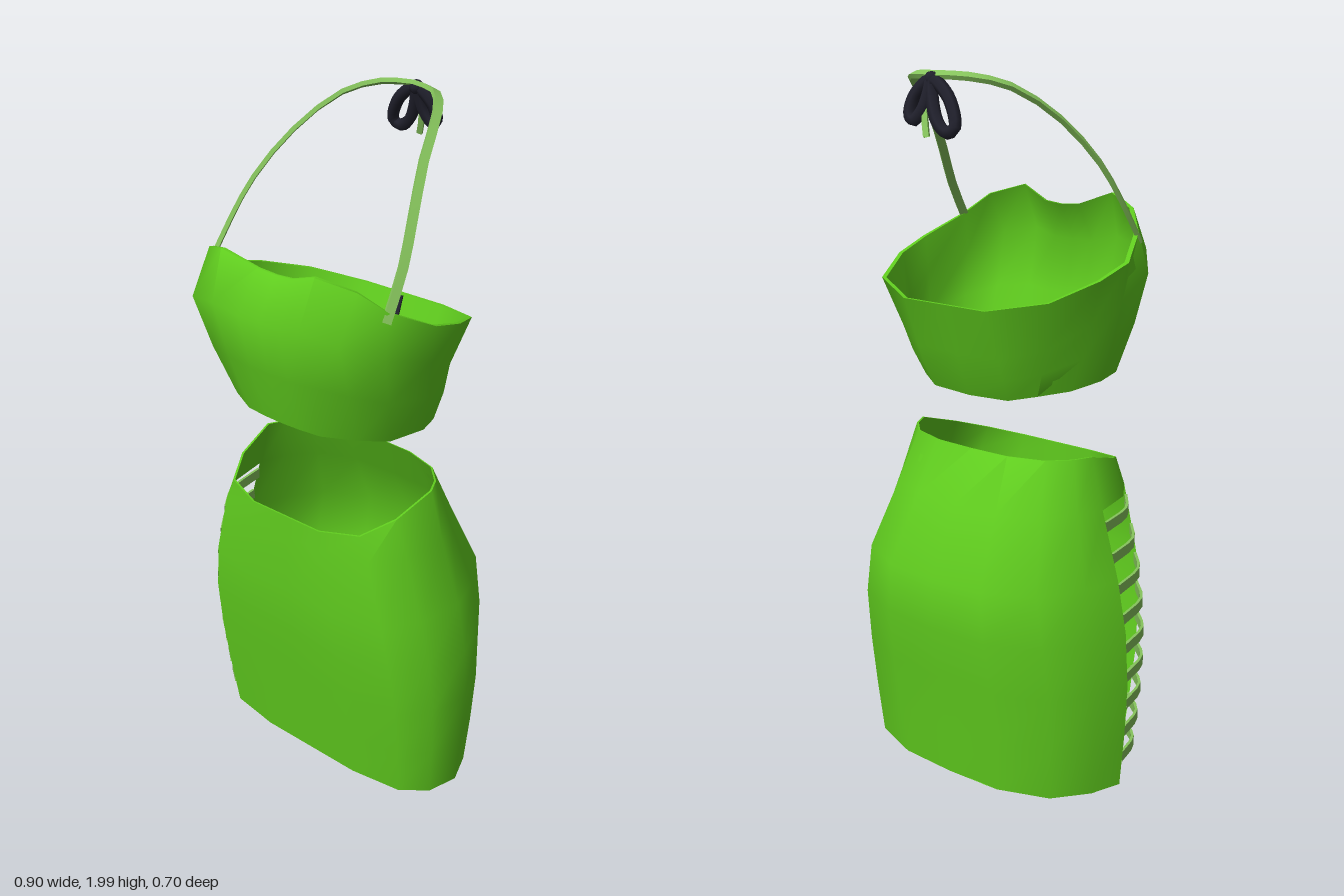
import * as THREE from 'three';
import { toCreasedNormals } from 'three/addons/utils/BufferGeometryUtils.js';

const mat = (name, color) => {
  const m = new THREE.MeshStandardMaterial({ color, side: THREE.DoubleSide });
  m.name = name;
  return m;
};

// Mirror a half ring (front centre to back centre) into a full ring
const mirrorRing = (half) => [
  ...half,
  ...half.slice(1, -1).reverse().map(([x, y, z]) => [-x, y, z]),
];

// Geometry from rows of points; every row is a closed loop
function loft(rows, { closed = false, keep = () => true, crease = 1.1 } = {}) {
  const n = rows[0].length;
  const index = [];
  for (let i = 0; i < rows.length - (closed ? 0 : 1); i++) {
    const next = (i + 1) % rows.length;
    for (let j = 0; j < n; j++) {
      if (!keep(i, j)) continue;
      const a = i * n + j, b = i * n + (j + 1) % n;
      const c = next * n + (j + 1) % n, d = next * n + j;
      index.push(a, b, c, a, c, d);
    }
  }
  const g = new THREE.BufferGeometry();
  g.setAttribute('position', new THREE.Float32BufferAttribute(rows.flat(2), 3));
  g.setIndex(index);
  return toCreasedNormals(g, crease);
}

// Thin double-walled shell from rings listed bottom to top
function shell(rings, thickness, keep) {
  const k = 1 - thickness;
  const inner = rings.map((r) => r.map(([x, y, z]) => [x * k, y, z * k])).reverse();
  return loft([...rings, ...inner], { closed: true, keep });
}

const curve = (pts, closed = false) =>
  new THREE.CatmullRomCurve3(pts.map((p) => new THREE.Vector3(...p)), closed);

// Flat band along a path, its face turned away from the point centre(p)
function ribbon(pts, width, thickness, centre, segments) {
  const path = curve(pts);
  const rows = [];
  for (let i = 0; i <= segments; i++) {
    const p = path.getPoint(i / segments);
    const t = path.getTangent(i / segments);
    const side = t.clone().cross(p.clone().sub(centre(p))).normalize();
    const out = side.clone().cross(t).normalize();
    rows.push([[-1, -1], [-1, 1], [1, 1], [1, -1]].map(([a, b]) => p.clone()
      .addScaledVector(side, a * width / 2)
      .addScaledVector(out, b * thickness / 2).toArray()));
  }
  return loft(rows, { crease: 0.8 });
}

// Skirt cross-section as fractions of half width and of front or back depth
const SECTION = [[0, 1], [0.4, 1], [0.77, 0.85], [0.94, 0.48], [1, -0.06],
  [0.92, -0.4], [0.74, -0.76], [0.4, -0.97], [0, -1]];
// Skirt levels: height, half width, front depth, back depth
const LEVELS = [[0.01, 0.43, 0.16, 0.265], [0.17, 0.443, 0.185, 0.285],
  [0.33, 0.45, 0.21, 0.305], [0.49, 0.44, 0.235, 0.33], [0.64, 0.41, 0.25, 0.33],
  [0.83, 0.35, 0.25, 0.23], [0.975, 0.31, 0.25, 0.155]];
const skirtPoint = ([y, w, f, b], [u, v]) => [u * w, y, v > 0 ? v * f : v * b];

function levelAt(y) {
  const i = LEVELS.findIndex((l) => l[0] >= y);
  const t = (y - LEVELS[i - 1][0]) / (LEVELS[i][0] - LEVELS[i - 1][0]);
  return LEVELS[i].map((v, k) => THREE.MathUtils.lerp(LEVELS[i - 1][k], v, t));
}

export function createModel() {
  const model = new THREE.Group();
  const green = mat('bright green', 0x60cc1e);
  const paleGreen = mat('pale green', 0x86c45c);
  const black = mat('blue black', 0x20202c);
  const add = (name, geometry, material, parent = model) => {
    const m = new THREE.Mesh(geometry, material);
    m.name = name;
    parent.add(m);
    return m;
  };

  // Top: hem, fullest line and neckline
  const hem = [[0, 1.185, 0.255], [0.06, 1.185, 0.253], [0.13, 1.185, 0.245],
    [0.22, 1.185, 0.2], [0.28, 1.18, 0.14], [0.305, 1.18, 0.03], [0.27, 1.165, -0.06],
    [0.2, 1.15, -0.115], [0.13, 1.135, -0.155], [0, 1.13, -0.16]];
  const bust = [[0, 1.5, 0.33], [0.07, 1.5, 0.332], [0.15, 1.52, 0.345],
    [0.255, 1.5, 0.315], [0.325, 1.45, 0.22], [0.348, 1.4, 0.06], [0.325, 1.35, -0.05],
    [0.25, 1.29, -0.15], [0.14, 1.26, -0.21], [0, 1.26, -0.215]];
  const neckline = [[0, 1.608, 0.265], [0.06, 1.613, 0.268], [0.16, 1.65, 0.295],
    [0.255, 1.62, 0.245], [0.31, 1.565, 0.19], [0.362, 1.505, 0.065], [0.352, 1.472, -0.05],
    [0.29, 1.428, -0.19], [0.14, 1.4, -0.265], [0, 1.4, -0.265]];
  const ribs = hem.map(([x, y, z], i) => {
    const [X, Y, Z] = bust[i];
    return [(x + X) * 0.51, (y + Y) * 0.5, (z + Z) * 0.51];
  });
  add('top', shell([hem, ribs, bust, neckline].map(mirrorRing), 0.035), green);

  // Dark fastening down the inside of the back
  add('backFastening', ribbon([[0, 1.14, -0.154], [0, 1.26, -0.205], [0, 1.395, -0.253]],
    0.012, 0.006, (p) => new THREE.Vector3(0, p.y, 0), 4), black);

  // Skirt with an open slit on its right side, below the waistband
  const rings = LEVELS.map((level, i) => mirrorRing(SECTION.map((s) => {
    const p = skirtPoint(level, s);
    if (i === LEVELS.length - 1) p[1] -= 0.083 * Math.max(0, s[1]);
    return p;
  })));
  const inSlit = (i, j) => (j === 12 || j === 13) && (i < 5 || i > 7);
  add('skirt', shell(rings, 0.02, (i, j) => !inSlit(i, j)), green);

  // Panel closing most of the skirt's underside
  const cut = -0.14;
  const [, , front, back] = LEVELS[0];
  const outline = [[cut, front], ...SECTION.map((s) => {
    const p = skirtPoint(LEVELS[0], s);
    return [p[0], p[2]];
  }), [cut, -back]];
  const panel = new THREE.ShapeGeometry(
    new THREE.Shape(outline.map(([x, z]) => new THREE.Vector2(x * 0.99, z * 0.99))));
  panel.rotateX(Math.PI / 2).translate(0, 0.012, 0);
  add('skirtUnderside', panel, green);

  // Ladder of flat bands across the slit
  const bands = new THREE.Group();
  bands.name = 'slitBands';
  model.add(bands);
  for (let i = 0; i < 9; i++) {
    const level = levelAt(0.1 + i * 0.0855);
    const pts = SECTION.slice(2, 5).map((s) => {
      const [x, y, z] = skirtPoint(level, s);
      return [-x * 0.99, y, z * 0.99];
    });
    add('slitBand', ribbon(pts, 0.03, 0.008,
      (p) => new THREE.Vector3(0, p.y, 0), 6), paleGreen, bands);
  }

  // Flat halter straps meeting behind the neck
  const neck = new THREE.Vector3(0, 1.6, -0.1);
  for (const s of [1, -1]) {
    add(s > 0 ? 'leftStrap' : 'rightStrap', ribbon([[0.308, 1.54, 0.2], [0.295, 1.66, 0.12],
      [0.27, 1.76, 0.055], [0.22, 1.875, -0.05], [0.16, 1.96, -0.18],
      [0.09, 1.985, -0.262], [0, 1.988, -0.292]].map(([x, y, z]) => [s * x, y, z]),
    0.024, 0.012, () => neck, 12), paleGreen);
  }

  // Bow: two hanging loops, a knot and a loose end
  const bow = new THREE.Group();
  bow.name = 'bow';
  model.add(bow);
  const hang = (pts) => pts.map(([x, y]) => [x, y, -0.295 - (1.99 - y) * 0.3]);
  const loop = (pts) => new THREE.TubeGeometry(curve(hang(pts), true), 24, 0.017, 6, true);
  add('bowRightLoop', loop([[-0.005, 1.975], [-0.068, 1.935], [-0.104, 1.865],
    [-0.08, 1.853], [-0.038, 1.885]]), black, bow);
  add('bowLeftLoop', loop([[0.005, 1.975], [0.045, 1.935], [0.05, 1.89],
    [0.035, 1.877], [0.01, 1.91]]), black, bow);
  add('bowKnot', new THREE.SphereGeometry(0.02, 8, 6), black, bow)
    .position.set(0, 1.977, -0.297);
  add('bowLooseEnd', ribbon(hang([[0, 1.975], [0.002, 1.9], [-0.018, 1.84]]), 0.016, 0.008,
    () => neck, 4), paleGreen, bow);

  return model;
}
